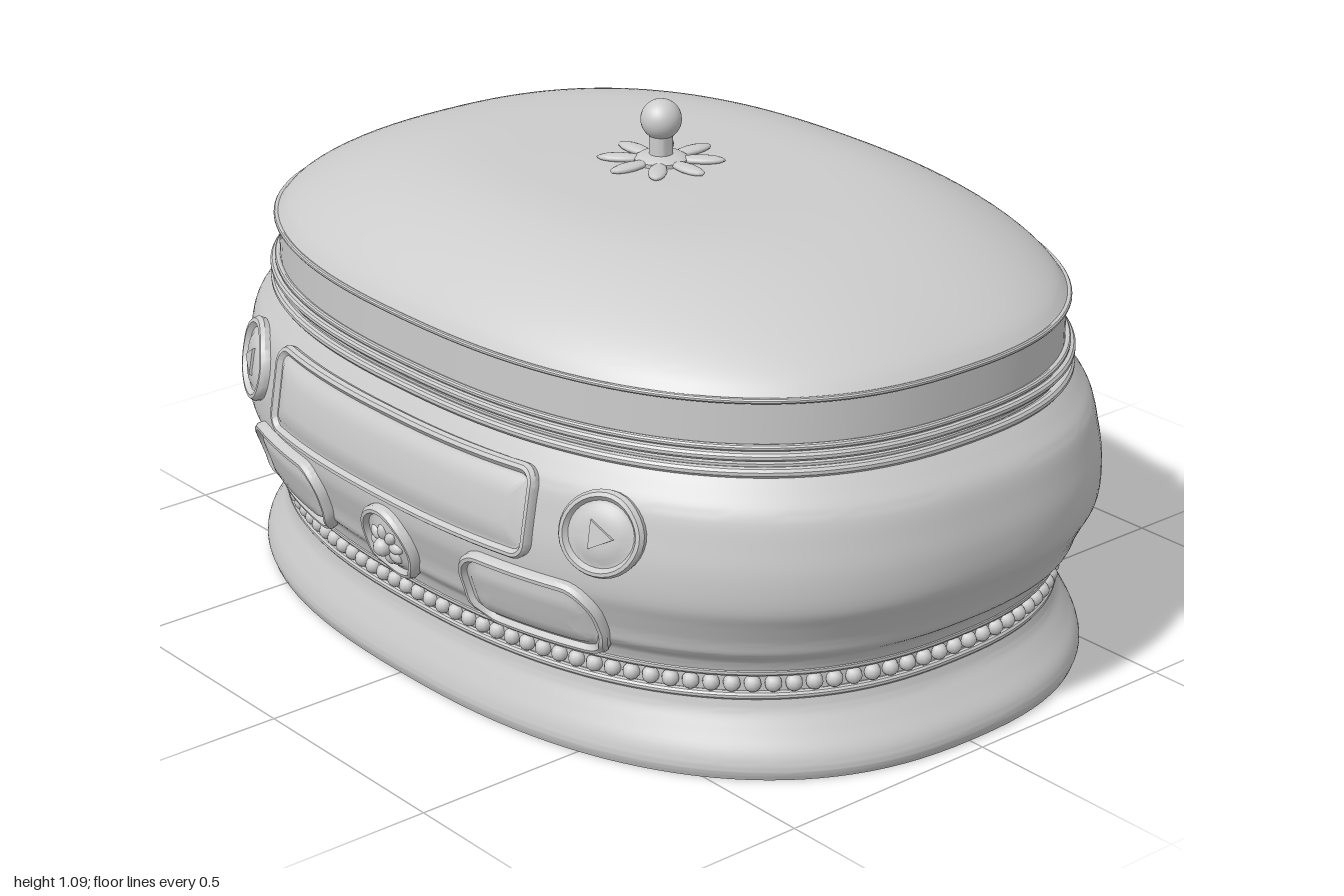
import * as THREE from 'three';
import { mergeGeometries, toCreasedNormals } from 'three/addons/utils/BufferGeometryUtils.js';

const CZ = -0.015; // centre line of the oval box
const N = 2.4;     // squareness of the oval
const SEG = 128;

const metal = new THREE.MeshStandardMaterial({ color: 0xcccccc });
metal.name = 'silver grey';

function part(parent, name, geometry) {
  const mesh = new THREE.Mesh(geometry, metal);
  mesh.name = name;
  parent.add(mesh);
  return mesh;
}

function oval(t, a, b, y) {
  const c = Math.cos(t), s = Math.sin(t), e = 2 / N;
  return new THREE.Vector3(
    a * Math.sign(c) * Math.abs(c) ** e, y, CZ + b * Math.sign(s) * Math.abs(s) ** e);
}

// Skins equal-length closed rings of points
function skin(rings, crease = 0.6, flip = false) {
  const n = rings[0].length, pos = [], index = [];
  rings.forEach(r => r.forEach(p => pos.push(p.x, p.y, p.z)));
  for (let j = 0; j < rings.length - 1; j++) {
    for (let i = 0; i < n; i++) {
      const k = (i + 1) % n;
      const a = j * n + i, b = j * n + k, c = a + n, d = b + n;
      if (flip) index.push(a, b, c, b, d, c);
      else index.push(a, c, b, b, c, d);
    }
  }
  const g = new THREE.BufferGeometry();
  g.setAttribute('position', new THREE.Float32BufferAttribute(pos, 3));
  g.setIndex(index);
  return toCreasedNormals(g, crease);
}

// Oval loft through rows of [y, half width, half depth]
const loft = rows => skin(rows.map(([y, a, b]) =>
  Array.from({ length: SEG }, (_, i) => oval(i / SEG * Math.PI * 2, a, b, y))));

function smooth(rows, count) {
  const curve = new THREE.CatmullRomCurve3(rows.map(r => new THREE.Vector3(...r)));
  return curve.getPoints(count).map(p => p.toArray());
}

// Round moulding running around the oval
function moulding(y, a, b, r) {
  const rows = [];
  for (let i = 0; i <= 10; i++) {
    const t = -Math.PI / 2 + i / 10 * Math.PI * 2;
    rows.push([y + r * Math.sin(t), a + r * Math.cos(t), b + r * Math.cos(t)]);
  }
  return loft(rows);
}

const bodyRows = smooth([
  [0.205, 0.903, 0.67], [0.235, 0.915, 0.68], [0.26, 0.943, 0.698], [0.29, 0.955, 0.705],
  [0.33, 0.975, 0.718], [0.37, 0.996, 0.729], [0.44, 1, 0.73], [0.5, 0.99, 0.722],
  [0.56, 0.974, 0.71], [0.6, 0.945, 0.69], [0.628, 0.922, 0.674]], 50);

// Point on the front of the body, and its outward normal
function frontPoint(x, y) {
  let i = bodyRows.findIndex(r => r[0] >= y);
  i = Math.max(1, i);
  const p = bodyRows[i - 1], q = bodyRows[i], f = (y - p[0]) / (q[0] - p[0]);
  const a = p[1] + (q[1] - p[1]) * f, b = p[2] + (q[2] - p[2]) * f;
  return new THREE.Vector3(x, y, CZ + b * (1 - Math.abs(x / a) ** N) ** (1 / N));
}
function frontNormal(x, y) {
  const e = 0.03;
  const dx = frontPoint(x + e, y).sub(frontPoint(x - e, y));
  const dy = frontPoint(x, y + e).sub(frontPoint(x, y - e));
  return dx.cross(dy).normalize();
}

// Framed, rounded plaque that follows the curve of the body
function plaque(x, y, w, h, r) {
  const steps = [[0, -0.012], [0, 0.012], [0.006, 0.02], [0.013, 0.02], [0.019, 0.009],
    [0.026, 0.009], [0.036, 0.015], [h * 0.7, 0.017], [h, 0.017]];
  const rings = steps.map(([inset, depth]) => {
    const W = w - inset, H = h - inset, R = Math.min(Math.max(r - inset, 0.012), H);
    const ring = [];
    [[1, 1], [-1, 1], [-1, -1], [1, -1]].forEach(([sx, sy], q) => {
      for (let i = 0; i <= 8; i++) { // rounded corner
        const t = (q + i / 8) * Math.PI / 2;
        ring.push([sx * (W - R) + R * Math.cos(t), sy * (H - R) + R * Math.sin(t)]);
      }
      if (q % 2 === 0) { // long edge
        for (let i = 1; i < 16; i++) ring.push([sx * (W - R) * (1 - i / 8), sy * H]);
      }
    });
    return ring.map(([u, v]) => frontPoint(x + u, y + v)
      .addScaledVector(frontNormal(x + u, y + v), depth));
  });
  return skin(rings, 0.7, true);
}

// Ring of petals lying in the xz plane
function petals(count, reach, length, width, thick) {
  return mergeGeometries(Array.from({ length: count }, (_, i) =>
    new THREE.SphereGeometry(1, 12, 8).scale(length, thick, width)
      .translate(reach - length, 0, 0).rotateY(i / count * Math.PI * 2)));
}

// Group sitting on the front surface, its z axis along the normal
function frontMount(parent, name, x, y) {
  const g = new THREE.Group();
  g.name = name;
  const n = frontNormal(x, y);
  g.position.copy(frontPoint(x, y)).addScaledVector(n, 0.015);
  g.quaternion.setFromUnitVectors(new THREE.Vector3(0, 0, 1), n);
  parent.add(g);
  return g;
}

export function createModel() {
  const model = new THREE.Group();
  model.name = 'ovalBox';

  // Foot
  part(model, 'footBottom', loft([[0, 0, 0], [0, 0.965, 0.7]]));
  part(model, 'foot', loft(smooth([[0, 0.965, 0.7], [0.02, 0.971, 0.706], [0.05, 0.964, 0.701],
    [0.09, 0.935, 0.687], [0.125, 0.911, 0.674], [0.15, 0.903, 0.67]], 24)));
  part(model, 'neck', loft([[0.15, 0.893, 0.66], [0.21, 0.893, 0.66]]));
  part(model, 'lowerBeadRail', moulding(0.155, 0.898, 0.665, 0.009));
  part(model, 'upperBeadRail', moulding(0.206, 0.898, 0.665, 0.009));

  // String of beads
  const path = new THREE.CatmullRomCurve3(Array.from({ length: 160 }, (_, i) =>
    oval(i / 160 * Math.PI * 2, 0.896, 0.663, 0.18)), true);
  path.arcLengthDivisions = 1600;
  part(model, 'beads', mergeGeometries(path.getSpacedPoints(126).slice(0, -1).map(p =>
    new THREE.SphereGeometry(0.0175, 10, 8).translate(p.x, p.y, p.z))));

  // Body
  part(model, 'body', loft(bodyRows));
  part(model, 'bodyRimRail', moulding(0.634, 0.919, 0.673, 0.011));
  part(model, 'bodyRim', loft([[0.628, 0.91, 0.665], [0.647, 0.91, 0.665], [0.647, 0, 0]]));

  // Lid
  const lid = new THREE.Group();
  lid.name = 'lid';
  model.add(lid);
  part(lid, 'lidBand', loft([[0.657, 0, 0], [0.657, 0.908, 0.664], [0.775, 0.908, 0.664]]));
  part(lid, 'lidLowerRail', moulding(0.667, 0.92, 0.674, 0.01));
  part(lid, 'lidUpperRail', moulding(0.682, 0.913, 0.668, 0.007));
  part(lid, 'lidLip', moulding(0.777, 0.912, 0.668, 0.006));
  part(lid, 'dome', loft(smooth([[0.778, 0.912, 0.668], [0.805, 0.885, 0.65], [0.84, 0.83, 0.615],
    [0.88, 0.745, 0.557], [0.915, 0.645, 0.485], [0.94, 0.535, 0.4], [0.951, 0.43, 0.315],
    [0.954, 0.25, 0.18], [0.955, 0, 0]], 40)));

  // Knob on a flower
  part(lid, 'lidFlower', petals(8, 0.135, 0.05, 0.02, 0.009)).position.set(0, 0.96, CZ);
  const knobProfile = [[0.056, 0.95], [0.056, 0.963], [0.045, 0.97], [0.025, 0.972], [0.025, 1.02]]
    .map(p => new THREE.Vector2(...p));
  part(lid, 'knobStem', toCreasedNormals(new THREE.LatheGeometry(knobProfile, 32), 0.6)).position.z = CZ;
  part(lid, 'knobBall', new THREE.SphereGeometry(0.043, 32, 20)).position.set(0, 1.046, CZ);

  // Hinges, arrow buttons and small panels, mirrored
  for (const s of [-1, 1]) {
    const side = s > 0 ? 'left' : 'right';
    part(model, side + 'Hinge', new THREE.CylinderGeometry(0.035, 0.035, 0.23, 28).rotateZ(Math.PI / 2))
      .position.set(s * 0.348, 0.65, -0.708);
    part(model, side + 'ArrowButton', plaque(s * 0.575, 0.497, 0.084, 0.084, 0.084));
    const arrow = frontMount(model, side + 'Arrow', s * 0.575, 0.497);
    const tri = new THREE.CylinderGeometry(0.034, 0.036, 0.014, 3)
      .rotateX(Math.PI / 2).rotateZ(Math.PI / 2 + (s > 0 ? 0 : Math.PI));
    part(arrow, 'arrowHead', toCreasedNormals(tri, 0.4));
    part(model, side + 'SmallPanel', plaque(s * 0.4, 0.301, 0.168, 0.083, 0.068));
  }

  // Centre panel and rosette
  part(model, 'largePanel', plaque(0, 0.497, 0.428, 0.093, 0.04));
  part(model, 'rosetteButton', plaque(0, 0.303, 0.083, 0.083, 0.083));
  const rosette = frontMount(model, 'rosette', 0, 0.303);
  part(rosette, 'rosettePetals', petals(8, 0.05, 0.02, 0.013, 0.013).rotateX(Math.PI / 2));
  part(rosette, 'rosetteCentre', new THREE.SphereGeometry(0.02, 16, 12)).position.z = 0.012;

  return model;
}
